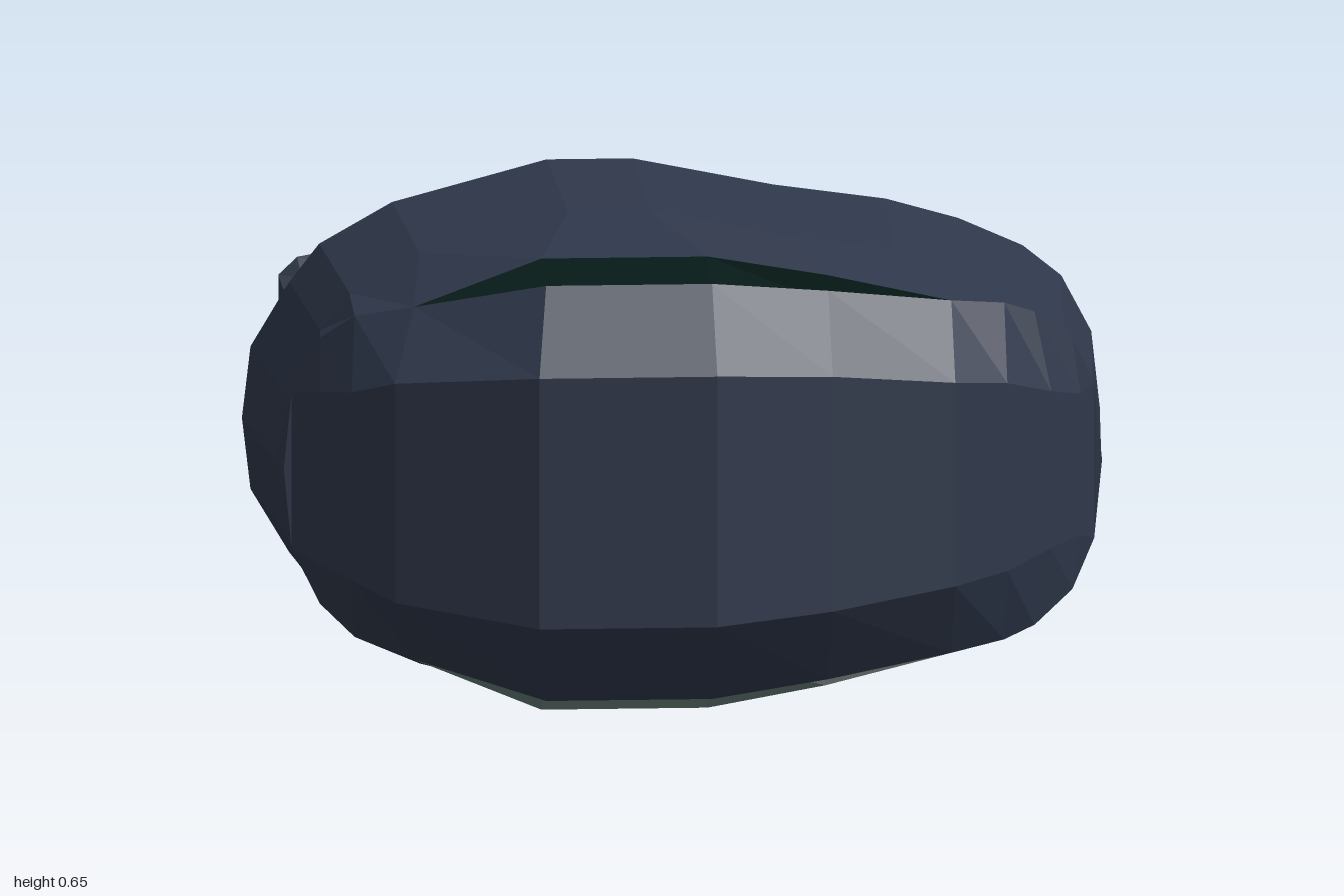
import * as THREE from 'three';

const MID = 0.33; // height of the horizontal mirror plane

// Upper half of the sack's cross-section, from right side to left side (width -1..1, height 0..1)
const ROUND = [[-1, 0], [-0.98, 0.28], [-0.89, 0.53], [-0.82, 0.68], [-0.65, 0.84], [-0.29, 1], [-0.09, 1],
  [0.24, 0.89], [0.5, 0.83], [0.67, 0.75], [0.82, 0.64], [0.91, 0.52], [0.98, 0.3], [1, 0]];
// Flatter section for the folded tail
const FLAT = [[-1, 0.55], [-0.93, 0.85], [-0.75, 1], [0.75, 1], [0.93, 0.85], [1, 0.55]];

// Upper half ring from [z, xMin, xMax, halfHeight]
function ring([z, x0, x1, h], profile) {
  return profile.map(([u, v]) => [(x0 + x1) / 2 + u * (x1 - x0) / 2, MID + v * h, z]);
}

// Skin over rings ordered back to front; each ring is mirrored downwards
function loft(halves, { back = false, front = false } = {}) {
  const pos = [];
  const tri = (a, b, c) => {
    const A = new THREE.Vector3(...a), B = new THREE.Vector3(...b), C = new THREE.Vector3(...c);
    if (B.sub(A).cross(C.sub(A)).length() > 1e-7) pos.push(...a, ...b, ...c);
  };
  const quad = (a, b, c, d) => { tri(a, b, c); tri(a, c, d); };
  const flip = ([x, y, z]) => [x, 2 * MID - y, z];
  const rings = halves.map((r) => [...r, ...r.map(flip).reverse()]);
  for (let k = 0; k < rings.length - 1; k++) {
    const r = rings[k], s = rings[k + 1], n = r.length;
    for (let i = 0; i < n; i++) {
      const j = (i + 1) % n;
      quad(r[i], s[i], s[j], r[j]);
    }
  }
  const cap = (r, isFront) => {
    for (let i = 0; i < r.length - 1; i++) {
      const a = r[i], b = r[i + 1], c = flip(b), d = flip(a);
      if (isFront) quad(a, d, c, b);
      else quad(a, b, c, d);
    }
  };
  if (back) cap(halves[0], false);
  if (front) cap(halves[halves.length - 1], true);
  const g = new THREE.BufferGeometry();
  g.setAttribute('position', new THREE.Float32BufferAttribute(pos, 3));
  g.computeVertexNormals();
  return g;
}

export function createModel() {
  const group = new THREE.Group();
  const navy = new THREE.MeshStandardMaterial({ color: 0x2f384b });
  navy.name = 'navy cloth';
  const green = new THREE.MeshStandardMaterial({ color: 0x0f2d28 });
  green.name = 'dark green lining';
  const add = (name, geometry, material) => {
    const m = new THREE.Mesh(geometry, material);
    m.name = name;
    group.add(m);
  };

  // Edge of the sack behind the slits
  const rearLip = [[-0.525, 0.33, 0.7], [-0.515, 0.43, 0.7], [-0.48, 0.5, 0.71], [-0.44, 0.535, 0.76],
    [-0.37, 0.555, 0.82], [-0.21, 0.618, 0.84], [0, 0.618, 0.84], [0.15, 0.592, 0.835], [0.31, 0.555, 0.82],
    [0.38, 0.545, 0.78], [0.42, 0.53, 0.76], [0.47, 0.49, 0.73], [0.5, 0.43, 0.7], [0.51, 0.33, 0.7]];
  // Same edge with the middle columns moved, for the slit floor and front lip
  const reshape = (middle) => rearLip.map((p, i) => middle[i - 5] || p);
  const slitFloor = reshape([[-0.21, 0.56, 0.825], [0, 0.56, 0.825], [0.15, 0.555, 0.82]]);
  const frontLip = reshape([[-0.21, 0.595, 0.915], [0, 0.595, 0.915], [0.15, 0.578, 0.875]]);
  // Rounded front end
  const brow = [rearLip[0], rearLip[1], [-0.485, 0.44, 0.77], [-0.45, 0.45, 0.84], [-0.4, 0.47, 0.9],
    [-0.225, 0.49, 1], [0, 0.49, 1], [0.15, 0.48, 0.95], [0.31, 0.46, 0.885], [0.38, 0.45, 0.83],
    [0.44, 0.43, 0.775], [0.48, 0.42, 0.735], rearLip[12], rearLip[13]];

  // Sack with its neck
  const sack = [
    [-0.5, -0.37, 0.27, 0.055], [-0.44, -0.28, 0.265, 0.09], [-0.4, -0.23, 0.21, 0.095],
    [-0.29, -0.225, 0.1, 0.115], [-0.15, -0.3, 0.1, 0.16], [0.08, -0.48, 0.22, 0.235],
    [0.28, -0.545, 0.54, 0.325], [0.62, -0.53, 0.515, 0.312],
  ].map((r) => ring(r, ROUND));
  add('sack', loft([...sack, rearLip], { back: true }), navy);
  add('slitLining', loft([rearLip, slitFloor, frontLip]), green);
  add('sackFront', loft([frontLip, brow], { front: true }), navy);

  // Tail: wide fold with raised rims, flat stem, knot and pointed end
  const tail = {
    neckRim: [[-0.525, -0.37, 0.27, 0.065], [-0.515, -0.37, 0.27, 0.06], [-0.5, -0.36, 0.27, 0.045]],
    wideFold: [[-0.6, -0.43, 0.25, 0.075], [-0.59, -0.425, 0.25, 0.045], [-0.53, -0.39, 0.27, 0.04],
      [-0.5, -0.36, 0.27, 0.04]],
    stem: [[-0.77, -0.16, 0.24, 0.04], [-0.59, -0.16, 0.24, 0.04]],
    knot: [[-0.85, -0.16, 0.15, 0.04], [-0.83, -0.16, 0.2, 0.05], [-0.79, -0.16, 0.245, 0.055],
      [-0.755, -0.16, 0.245, 0.05], [-0.745, -0.16, 0.24, 0.03]],
    tailTip: [[-1, -0.22, -0.1, 0.004], [-0.85, -0.16, 0.15, 0.04]],
  };
  for (const [name, rows] of Object.entries(tail)) {
    add(name, loft(rows.map((r) => ring(r, FLAT)), { back: true, front: true }), navy);
  }
  return group;
}
